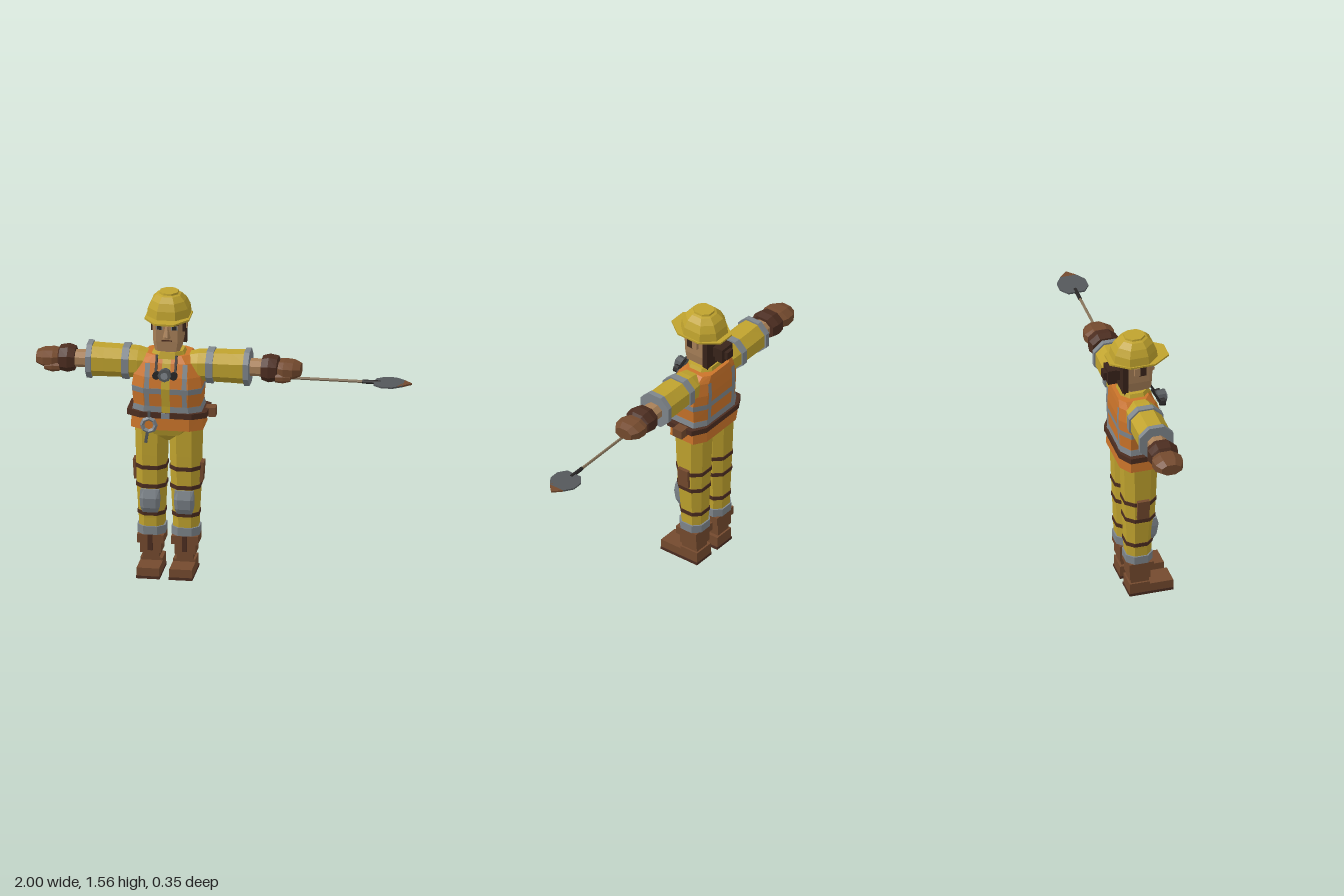
import * as THREE from 'three';

const mat = (name, color, side = THREE.FrontSide) => {
  const m = new THREE.MeshStandardMaterial({ color, flatShading: true, side });
  m.name = name;
  return m;
};

export function createModel() {
  const yellow = mat('yellow cloth', 0xc0a32e, THREE.DoubleSide);
  const orange = mat('orange vest', 0xcb742a);
  const brown = mat('brown leather', 0x744a2e);
  const dark = mat('dark leather', 0x4c2d20);
  const skin = mat('skin', 0xa88058);
  const grey = mat('reflective grey', 0x7f868c, THREE.DoubleSide);
  const steel = mat('dark steel', 0x54585b);
  const hair = mat('hair', 0x39241b);
  const wood = mat('wooden shaft', 0x86735a);
  const black = mat('black rubber', 0x292727);

  const root = new THREE.Group();
  const body = new THREE.Group();
  body.name = 'worker';
  body.position.x = -0.297;
  root.add(body);

  const add = (parent, name, geo, material, x = 0, y = 0, z = 0) => {
    const m = new THREE.Mesh(geo, material);
    m.name = name;
    m.position.set(x, y, z);
    parent.add(m);
    return m;
  };
  const box = (parent, name, material, w, h, d, x, y, z) =>
    add(parent, name, new THREE.BoxGeometry(w, h, d), material, x, y, z);

  // Eight-sided solid through sections [y, halfWidth, halfDepth, zCentre]; k sets how square it is
  const loft = (sections, k = 0.45) => {
    const rings = sections.map(([y, a, b, c = 0]) =>
      [[a, -k * b], [a, k * b], [k * a, b], [-k * a, b], [-a, k * b], [-a, -k * b], [-k * a, -b], [k * a, -b]]
        .map(([x, z]) => [x, y, z + c]));
    const pos = [];
    const tri = (...p) => p.forEach(q => pos.push(...q));
    for (let r = 0; r + 1 < rings.length; r++) {
      for (let i = 0; i < 8; i++) {
        const j = (i + 1) % 8, lo = rings[r], hi = rings[r + 1];
        tri(lo[i], hi[i], lo[j]);
        tri(lo[j], hi[i], hi[j]);
      }
    }
    const bottom = rings[0], top = rings[rings.length - 1];
    for (let i = 1; i < 7; i++) {
      tri(bottom[0], bottom[i], bottom[i + 1]);
      tri(top[0], top[i + 1], top[i]);
    }
    const g = new THREE.BufferGeometry();
    g.setAttribute('position', new THREE.Float32BufferAttribute(pos, 3));
    g.computeVertexNormals();
    return g;
  };
  // Part of a profile between two heights, optionally swollen outwards
  const slice = (profile, y0, y1, grow = 0) => {
    const at = y => {
      const i = Math.max(1, profile.findIndex(p => p[0] >= y));
      const p = profile[i - 1], q = profile[i], t = (y - p[0]) / (q[0] - p[0]);
      return p.map((v, n) => v + (q[n] - v) * t);
    };
    return [at(y0), ...profile.filter(p => p[0] > y0 && p[0] < y1), at(y1)]
      .map(([y, a, b, c]) => [y, a + grow, b + grow, c]);
  };

  // Vest in horizontal bands
  const torso = [[0.815, 0.192, 0.117, 0], [0.9, 0.188, 0.115, 0], [0.95, 0.178, 0.113, 0.003],
    [1.05, 0.186, 0.122, 0.008], [1.11, 0.178, 0.117, 0], [1.18, 0.155, 0.1, -0.012], [1.215, 0.115, 0.083, -0.025]];
  [[0.815, 0.91, orange], [0.91, 0.948, grey], [0.948, 1.02, orange], [1.02, 1.052, grey], [1.052, 1.215, orange]]
    .forEach(([a, b, m]) => add(body, m === grey ? 'vestStripe' : 'vest', loft(slice(torso, a, b), 0.65), m));

  // Upright strips laid on the front or back of the vest
  const strip = (name, material, x, w, y0, y1, side) => {
    const pts = slice(torso, y0, y1, 0.004);
    const g = new THREE.PlaneGeometry(w, 1, 1, pts.length - 1);
    const p = g.attributes.position;
    pts.forEach(([y, , b, c], i) => {
      for (const n of [2 * i, 2 * i + 1]) p.setXYZ(n, p.getX(n) + x, y, c + side * b);
    });
    g.computeVertexNormals();
    add(body, name, g, material);
  };
  for (const s of [-1, 1]) {
    strip('frontBrace', grey, s * 0.1, 0.026, 0.92, 1.18, 1);
    strip('backBrace', grey, s * 0.1, 0.026, 0.92, 1.18, -1);
  }
  strip('jacketFront', yellow, 0, 0.045, 0.91, 1.2, 1);
  add(body, 'collar', loft([[1.17, 0.11, 0.09, -0.01], [1.235, 0.078, 0.072, -0.01]], 0.5), yellow);

  // Belt, pouch and hanging clip
  add(body, 'belt', loft([[0.884, 0.212, 0.125], [0.915, 0.212, 0.125]], 0.65), dark);
  box(body, 'buckle', grey, 0.045, 0.03, 0.008, 0, 0.9, 0.128);
  box(body, 'beltPouch', brown, 0.055, 0.05, 0.06, 0.222, 0.893, -0.015);
  add(body, 'clipRing', new THREE.TorusGeometry(0.036, 0.012, 4, 8), grey, -0.088, 0.848, 0.132);
  box(body, 'clipStrap', steel, 0.015, 0.05, 0.012, -0.088, 0.9, 0.13);
  box(body, 'clipHandle', steel, 0.015, 0.065, 0.012, -0.1, 0.78, 0.13).rotation.z = -0.15;

  // Trousers and boots
  add(body, 'trouserSeat', loft([[0.735, 0.03, 0.04], [0.775, 0.1, 0.085], [0.83, 0.178, 0.102]], 0.6), yellow);
  const leg = [[0.2, 0.066, 0.064, -0.01], [0.3, 0.067, 0.068, -0.01], [0.46, 0.075, 0.078, -0.005],
    [0.66, 0.08, 0.087, -0.004], [0.82, 0.084, 0.092, -0.004]];
  for (const s of [-1, 1]) {
    const g = new THREE.Group();
    g.name = s > 0 ? 'leftLeg' : 'rightLeg';
    g.position.x = s * 0.091;
    body.add(g);
    add(g, 'trouserLeg', loft(leg, 0.5), yellow);
    for (const y of [0.578, 0.472, 0.315]) add(g, 'legStrap', loft(slice(leg, y, y + 0.022, 0.004), 0.5), dark);
    add(g, 'ankleBand', loft(slice(leg, 0.208, 0.254, 0.008), 0.5), grey);
    add(g, 'kneePad', loft([[0.335, 0.04, 0.012, 0.058], [0.365, 0.05, 0.025, 0.063],
      [0.42, 0.053, 0.028, 0.069], [0.468, 0.05, 0.012, 0.072]], 0.65), grey);
    box(g, 'thighPouch', brown, 0.024, 0.11, 0.066, s * 0.083, 0.56, -0.003).rotation.z = -s * 0.06;
    box(g, 'bootCuff', brown, 0.142, 0.046, 0.134, 0, 0.184, -0.006);
    box(g, 'bootShaft', brown, 0.112, 0.062, 0.112, 0, 0.133, -0.01);
    box(g, 'bootAnkle', brown, 0.088, 0.05, 0.1, 0, 0.09, -0.008);
    box(g, 'bootTongue', dark, 0.026, 0.085, 0.01, 0, 0.165, 0.063);
    box(g, 'bootHeel', brown, 0.118, 0.06, 0.11, -s * 0.004, 0.044, -0.013);
    box(g, 'bootToe', brown, 0.12, 0.045, 0.135, -s * 0.004, 0.0375, 0.104);
    box(g, 'bootSole', dark, 0.126, 0.015, 0.242, -s * 0.004, 0.0075, 0.051);
  }

  // Arms are lofted upright, then turned outwards
  for (const s of [-1, 1]) {
    const g = new THREE.Group();
    g.name = s > 0 ? 'leftArm' : 'rightArm';
    g.position.set(0, 1.152, -0.006);
    g.rotation.z = -s * Math.PI / 2;
    body.add(g);
    add(g, 'sleeve', loft([[0.1, 0.06, 0.07], [0.16, 0.075, 0.083], [0.22, 0.079, 0.085],
      [0.34, 0.081, 0.085], [0.425, 0.084, 0.084]]), yellow);
    add(g, 'sleeveBand', loft([[0.205, 0.088, 0.094], [0.243, 0.088, 0.094]]), grey);
    add(g, 'sleeveCuff', loft([[0.405, 0.093, 0.093], [0.434, 0.093, 0.093]]), grey);
    add(g, 'wrist', loft([[0.42, 0.042, 0.05], [0.51, 0.042, 0.05]]), skin);
    add(g, 'gloveCuff', loft([[0.497, 0.058, 0.07], [0.535, 0.068, 0.08], [0.58, 0.06, 0.074],
      [0.59, 0.045, 0.06]]), dark);
    add(g, 'gloveHand', loft([[0.575, 0.044, 0.064], [0.615, 0.048, 0.08], [0.665, 0.044, 0.076],
      [0.703, 0.03, 0.052]]), brown);
    add(g, 'gloveThumb', loft([[0.575, 0.022, 0.02], [0.615, 0.025, 0.022], [0.655, 0.016, 0.014]]), brown,
      s * 0.032, 0, 0.062);
  }

  // Head, face and hair
  const head = new THREE.Group();
  head.name = 'head';
  body.add(head);
  add(head, 'neck', loft([[1.19, 0.058, 0.058], [1.27, 0.055, 0.058]], 0.6), skin);
  add(head, 'face', loft([[1.245, 0.066, 0.07, 0.008], [1.3, 0.076, 0.08, 0.002], [1.43, 0.08, 0.083]], 0.75), skin);
  add(head, 'nose', loft([[1.322, 0.02, 0.025, 0.084], [1.333, 0.018, 0.026, 0.085], [1.385, 0.007, 0.006, 0.083]]), skin);
  box(head, 'mouth', dark, 0.056, 0.007, 0.006, 0, 1.306, 0.082);
  box(head, 'hairBack', hair, 0.17, 0.175, 0.032, 0, 1.34, -0.072);
  box(head, 'hairNape', hair, 0.12, 0.045, 0.022, 0, 1.238, -0.06);
  for (const s of [-1, 1]) {
    box(head, 'eyeWhite', grey, 0.036, 0.024, 0.004, s * 0.04, 1.378, 0.083);
    box(head, 'eye', black, 0.024, 0.022, 0.006, s * 0.04, 1.378, 0.084);
    box(head, 'eyebrow', hair, 0.046, 0.013, 0.007, s * 0.04, 1.4, 0.084);
    box(head, 'sideburn', hair, 0.018, 0.08, 0.04, s * 0.081, 1.388, 0.022);
    box(head, 'ear', skin, 0.02, 0.046, 0.03, s * 0.086, 1.378, -0.01);
  }
  [[0.07, 0.058, 0.03, -0.097], [0.09, 0.083, 0.048, -0.132], [0.05, 0.045, 0.022, -0.165]]
    .forEach(([w, h, d, z]) => box(head, 'hairBun', hair, w, h, d, 0, 1.338, z));

  // Hard hat
  add(head, 'hatBrim', loft([[1.42, 0.118, 0.163, 0.014], [1.43, 0.118, 0.163, 0.014]], 0.42), yellow);
  add(head, 'hatDome', loft([[1.425, 0.112, 0.12, -0.004], [1.475, 0.106, 0.113, -0.004],
    [1.515, 0.088, 0.095, -0.002], [1.543, 0.063, 0.067], [1.548, 0.05, 0.055], [1.558, 0.048, 0.053]]), yellow);

  // Breathing mask hanging at the neck
  const mask = new THREE.Group();
  mask.name = 'breathingMask';
  body.add(mask);
  const disc = (name, r, d, m, x, y, z) =>
    add(mask, name, new THREE.CylinderGeometry(r, r * 0.85, d, 8).rotateX(Math.PI / 2), m, x, y, z);
  disc('maskBody', 0.036, 0.045, steel, 0, 1.14, 0.148);
  disc('maskValve', 0.02, 0.012, grey, 0, 1.14, 0.172);
  for (const s of [-1, 1]) {
    disc('maskFilter', 0.022, 0.03, black, s * 0.046, 1.132, 0.14);
    box(mask, 'maskStrap', black, 0.012, 0.1, 0.012, s * 0.052, 1.18, 0.105).rotation.x = -0.5;
  }

  // Shovel held in the left hand
  const shovel = new THREE.Group();
  shovel.name = 'shovel';
  shovel.position.set(0, 1.11, 0.014);
  root.add(shovel);
  const rod = (name, r, x0, x1, m) =>
    add(shovel, name, new THREE.CylinderGeometry(r, r, x1 - x0, 6).rotateZ(Math.PI / 2), m, (x0 + x1) / 2);
  rod('shovelShaft', 0.008, 0.27, 0.76, wood);
  rod('shovelSocket', 0.011, 0.735, 0.83, black);
  const plate = (name, pts, m) => {
    const shape = new THREE.Shape(pts.map(p => new THREE.Vector2(...p)));
    const g = new THREE.ExtrudeGeometry(shape, { depth: 0.009, bevelEnabled: false });
    add(shovel, name, g.rotateX(Math.PI / 2), m, 0, 0.0045, 0);
  };
  plate('shovelBlade', [[0.8, -0.045], [0.845, -0.078], [0.905, -0.078], [0.955, -0.044], [0.955, 0.044],
    [0.905, 0.078], [0.845, 0.078], [0.8, 0.045]], steel);
  plate('shovelTip', [[0.955, -0.044], [1, 0], [0.955, 0.044], [0.925, 0.064], [0.955, 0]], brown);

  return root;
}
